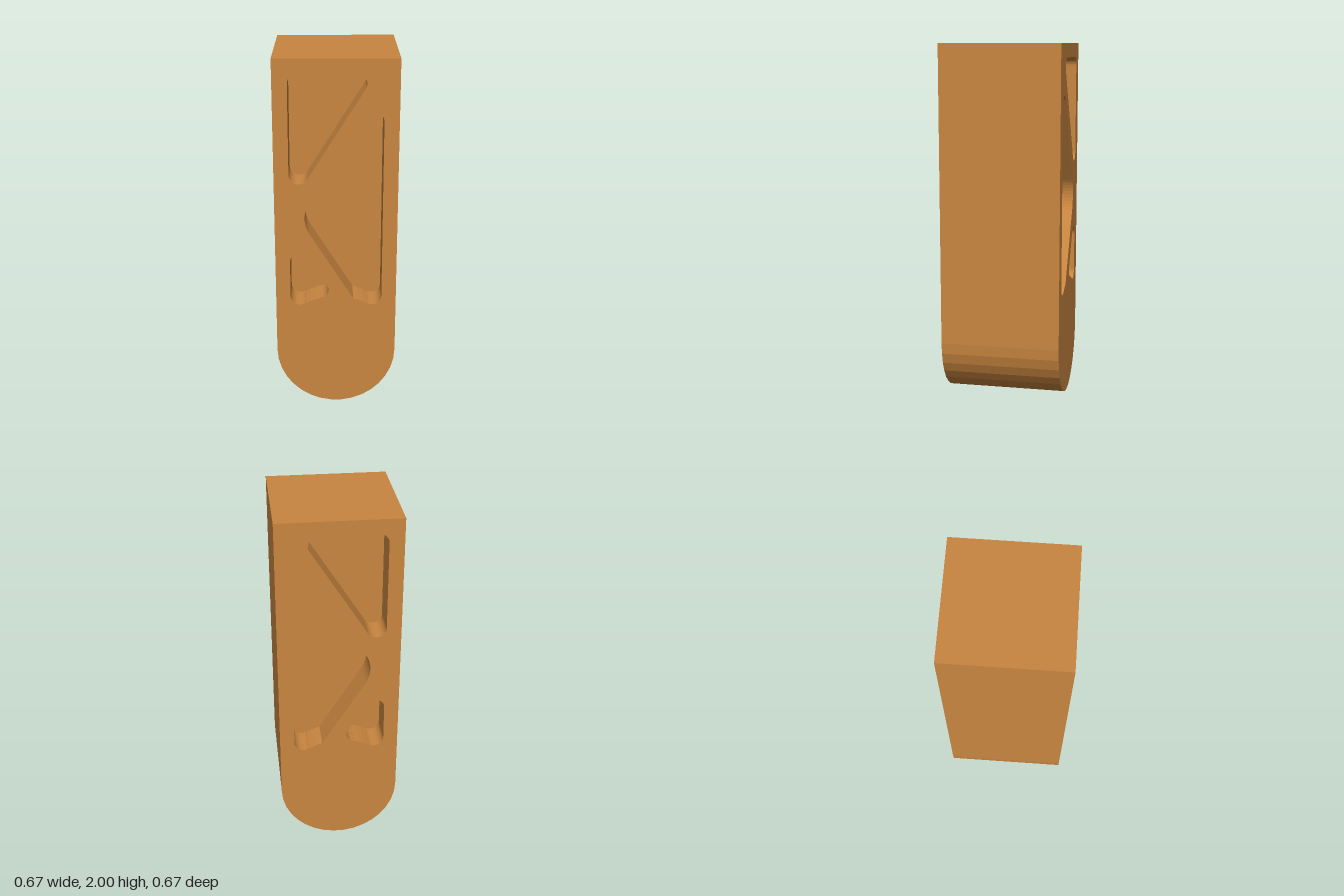
import * as THREE from 'three';

const HALF = 1 / 3;      // half width, half depth and end radius
const DEPTH = 1 / 6;     // pocket depth
const R = 0.053;         // pocket corner radius

// Joins arcs [cx, cy, radius, startDeg, endDeg, segments] into one closed loop
function loop(arcs) {
  const points = [];
  for (const [cx, cy, r, start, end, segments] of arcs) {
    for (let i = 0; i <= segments; i++) {
      const a = THREE.MathUtils.degToRad(start + (end - start) * i / segments);
      points.push(new THREE.Vector2(cx + r * Math.cos(a), cy + r * Math.sin(a)));
    }
  }
  return points;
}

// Straight sides with a half-round lower end
const outline = [
  ...loop([[0, HALF, HALF, 180, 360, 17]]),
  new THREE.Vector2(HALF, 2), new THREE.Vector2(-HALF, 2),
];

// Pockets on either side of the bent bar, all counter-clockwise
const pockets = {
  upperPocket: loop([
    [-0.2, 1.376, R, 180, 328, 12],
    [0.108, 1.868, R, -32, 90, 12],
    [-0.2, 1.868, R, 90, 180, 8],
  ]),
  middlePocket: loop([
    [0.2, 1.667, R, 0, 148, 12],
    [0, 1.127, 0.17, 148, 212, 10],
    [0, HALF, HALF, 73.4, 59.1, 3],
    [0.2, 0.667, R, 239.1, 360, 12],
  ]),
  lowerPocket: loop([
    [-0.2, 0.873, R, 32, 180, 12],
    [-0.2, 0.667, R, 180, 300.9, 12],
    [0, HALF, HALF, 120.9, 104.3, 3],
    [-0.095, 0.705, R, -75.7, 32, 12],
  ]),
};

// Wall swept along z from a counter-clockwise loop; inward walls face the middle
function wall(points, back, front, inward) {
  const v = [];
  points.forEach((p, i) => {
    let a = p, b = points[(i + 1) % points.length];
    if (inward) [a, b] = [b, a];
    v.push(a.x, a.y, back, b.x, b.y, back, b.x, b.y, front);
    v.push(a.x, a.y, back, b.x, b.y, front, a.x, a.y, front);
  });
  const g = new THREE.BufferGeometry();
  g.setAttribute('position', new THREE.Float32BufferAttribute(v, 3));
  g.computeVertexNormals();
  return g;
}

export function createModel() {
  const model = new THREE.Group();
  model.name = 'pocketedBlock';
  const material = new THREE.MeshStandardMaterial({ color: 0xc98640, flatShading: true });
  const add = (parent, name, geometry, z = 0) => {
    const mesh = new THREE.Mesh(geometry, material);
    mesh.name = name;
    mesh.position.z = z;
    parent.add(mesh);
  };

  // Outer sides, top and rounded bottom
  add(model, 'outerShell', wall(outline, -HALF, HALF, false));

  // Front and back: the back is mirrored so its pockets line up with the front
  for (const side of ['front', 'back']) {
    const group = new THREE.Group();
    group.name = side + 'Side';
    const place = (points) => side === 'front' ? points
      : points.map((p) => new THREE.Vector2(-p.x, p.y)).reverse();

    const face = new THREE.Shape(place(outline));
    for (const [name, points] of Object.entries(pockets)) {
      const edge = place(points);
      face.holes.push(new THREE.Path(edge));
      add(group, name + 'Wall', wall(edge, HALF - DEPTH, HALF, true));
      add(group, name + 'Floor', new THREE.ShapeGeometry(new THREE.Shape(edge)), HALF - DEPTH);
    }
    add(group, side + 'Face', new THREE.ShapeGeometry(face), HALF);

    if (side === 'back') group.rotation.y = Math.PI;
    model.add(group);
  }
  return model;
}
